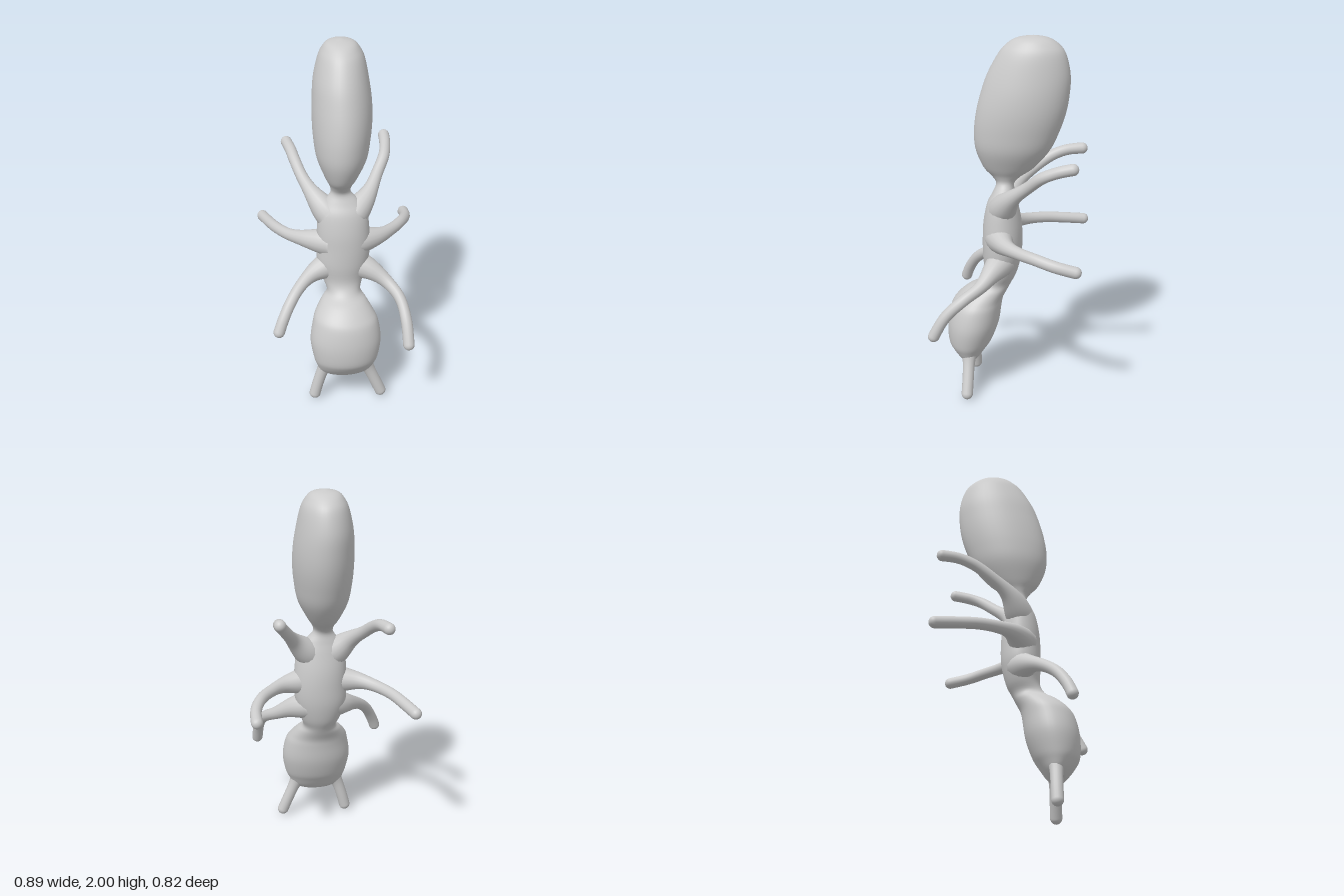
import * as THREE from 'three';
import { mergeVertices } from 'three/addons/utils/BufferGeometryUtils.js';

const material = new THREE.MeshStandardMaterial({ color: 0xcccccc });

// Body outline from head to abdomen: [y, xMin, xMax, zMin, zMax]
const HEAD = [
  [0.165, 0.02, 0.02, 0.225, 0.225], [0.172, -0.06, 0.10, 0.195, 0.255], [0.20, -0.115, 0.155, 0.165, 0.285],
  [0.25, -0.14, 0.185, 0.13, 0.325], [0.30, -0.155, 0.205, 0.10, 0.347], [0.40, -0.17, 0.22, 0.065, 0.35],
  [0.50, -0.155, 0.205, 0.05, 0.33], [0.55, -0.14, 0.18, 0.04, 0.30], [0.60, -0.105, 0.145, 0.015, 0.245],
  [0.64, -0.07, 0.115, -0.005, 0.18],
];
const THORAX = [
  [0.70, -0.09, 0.13, -0.035, 0.145], [0.80, -0.12, 0.16, -0.06, 0.15], [0.90, -0.12, 0.17, -0.066, 0.15],
  [1.00, -0.12, 0.165, -0.06, 0.145], [1.10, -0.11, 0.15, -0.04, 0.125], [1.16, -0.08, 0.11, -0.025, 0.095],
  [1.21, -0.045, 0.065, -0.02, 0.077],
];
const ABDOMEN = [
  [1.25, -0.05, 0.07, -0.055, 0.10], [1.30, -0.075, 0.10, -0.125, 0.145], [1.40, -0.115, 0.15, -0.21, 0.185],
  [1.50, -0.13, 0.17, -0.257, 0.192], [1.60, -0.135, 0.18, -0.29, 0.18], [1.70, -0.133, 0.178, -0.307, 0.155],
  [1.80, -0.125, 0.165, -0.31, 0.12], [1.90, -0.102, 0.145, -0.288, 0.066], [1.95, -0.08, 0.122, -0.255, 0.025],
  [1.985, -0.048, 0.088, -0.20, -0.03], [2.0, 0.02, 0.02, -0.12, -0.12],
];

// Weld seams so the normals run smoothly all round
function smooth(geometry) {
  geometry.deleteAttribute('uv');
  geometry.deleteAttribute('normal');
  const welded = mergeVertices(geometry, 1e-5);
  welded.computeVertexNormals();
  return welded;
}

// Loft elliptical sections through the rows
function loft(rows, rings = 120, sides = 40) {
  const curve = (a, b) => new THREE.CatmullRomCurve3(
    rows.map(r => new THREE.Vector3(r[0], r[a], r[b])), false, 'catmullrom', 0.5);
  const xs = curve(1, 2), zs = curve(3, 4);
  const positions = [], index = [];
  for (let i = 0; i <= rings; i++) {
    const x = xs.getPoint(i / rings), z = zs.getPoint(i / rings);
    for (let j = 0; j <= sides; j++) {
      const a = (j % sides) / sides * Math.PI * 2;
      positions.push((x.y + x.z) / 2 + Math.cos(a) * (x.z - x.y) / 2, x.x,
        (z.y + z.z) / 2 + Math.sin(a) * (z.z - z.y) / 2);
      if (i < rings && j < sides) {
        const p = i * (sides + 1) + j, q = p + sides + 1;
        index.push(p, q, p + 1, p + 1, q, q + 1);
      }
    }
  }
  const geometry = new THREE.BufferGeometry();
  geometry.setAttribute('position', new THREE.Float32BufferAttribute(positions, 3));
  geometry.setIndex(index);
  return smooth(geometry);
}

// Tube that flares into the body at its root and ends in a rounded tip
function limb(points, radius, flare) {
  const curve = new THREE.CatmullRomCurve3(points.map(p => new THREE.Vector3(...p)));
  const rings = 64, sides = 16;
  const geometry = new THREE.TubeGeometry(curve, rings, 1, sides);
  const cap = radius / curve.getLength();
  const pos = geometry.attributes.position, v = new THREE.Vector3();
  for (let i = 0; i <= rings; i++) {
    // pack extra rings into the tip
    const u = i / rings, t = 1 - Math.pow(1 - u, 1.5);
    const base = curve.getPointAt(u), centre = curve.getPointAt(t);
    const end = Math.max(0, (t - 1 + cap) / cap);
    const r = (radius + flare * Math.exp(-((t / 0.24) ** 2))) * Math.sqrt(Math.max(0, 1 - end * end));
    for (let j = 0; j <= sides; j++) {
      const k = i * (sides + 1) + j;
      v.fromBufferAttribute(pos, k).sub(base).multiplyScalar(r).add(centre);
      pos.setXYZ(k, v.x, v.y, v.z);
    }
  }
  return smooth(geometry);
}

const LIMBS = {
  rightHindLeg: [[-0.05, 1.08, 0.04], [-0.125, 1.165, -0.01], [-0.185, 1.235, -0.1], [-0.225, 1.30, -0.2],
    [-0.245, 1.33, -0.28], [-0.272, 1.34, -0.40]],
  leftHindLeg: [[0.08, 1.08, 0.04], [0.165, 1.17, -0.02], [0.22, 1.25, -0.11], [0.265, 1.32, -0.19],
    [0.278, 1.355, -0.27], [0.28, 1.38, -0.373]],
  rightMiddleLeg: [[-0.04, 0.92, 0.06], [-0.19, 0.92, 0], [-0.27, 0.91, -0.07], [-0.335, 0.90, -0.17],
    [-0.38, 0.885, -0.28], [-0.425, 0.867, -0.41]],
  leftMiddleLeg: [[0.08, 0.92, 0.06], [0.23, 0.922, 0], [0.31, 0.92, -0.08], [0.37, 0.915, -0.17],
    [0.405, 0.895, -0.27], [0.41, 0.865, -0.403]],
  rightFrontLeg: [[-0.04, 0.78, 0.04], [-0.14, 0.755, 0.09], [-0.21, 0.72, 0.155], [-0.27, 0.66, 0.225],
    [-0.315, 0.58, 0.275], [-0.352, 0.485, 0.31]],
  leftFrontLeg: [[0.08, 0.78, 0.04], [0.18, 0.75, 0.085], [0.26, 0.70, 0.135], [0.32, 0.645, 0.22],
    [0.345, 0.56, 0.31], [0.355, 0.42, 0.39]],
};
const ANTENNAE = {
  rightAntenna: [[-0.05, 0.30, 0.22], [-0.10, 0.20, 0.22], [-0.13, 0.11, 0.22], [-0.157, 0.003, 0.222]],
  leftAntenna: [[0.10, 0.30, 0.22], [0.15, 0.20, 0.22], [0.19, 0.11, 0.22], [0.235, 0.003, 0.222]],
};

export function createModel() {
  const model = new THREE.Group();
  model.name = 'ant';
  const add = (name, geometry) => {
    const mesh = new THREE.Mesh(geometry, material);
    mesh.name = name;
    model.add(mesh);
  };
  // One continuous skin for head, thorax and abdomen
  add('body', loft([...HEAD, ...THORAX, ...ABDOMEN]));
  for (const [name, points] of Object.entries(LIMBS)) add(name, limb(points, 0.031, 0.045));
  for (const [name, points] of Object.entries(ANTENNAE)) add(name, limb(points, 0.032, 0.03));
  return model;
}
